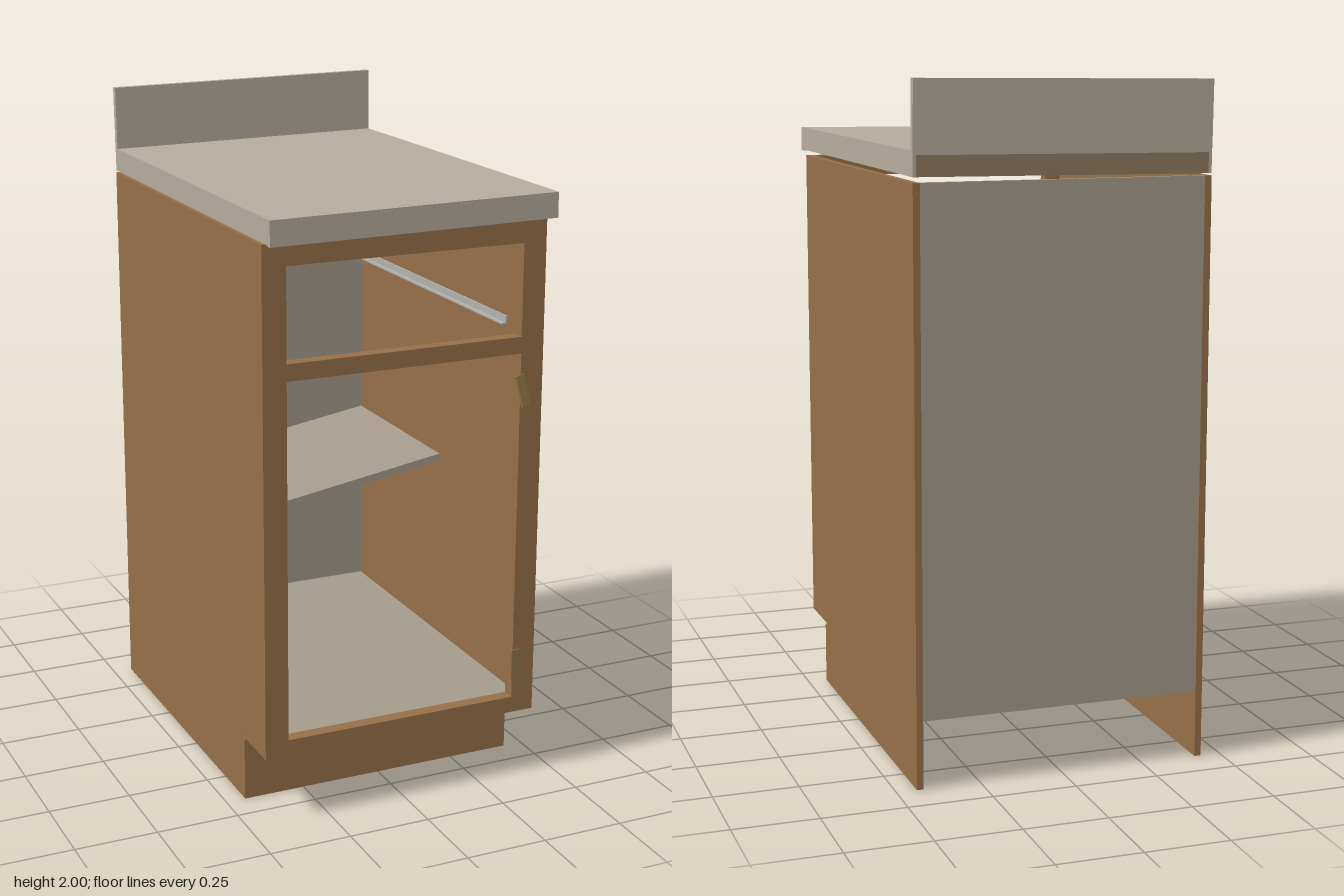
import * as THREE from 'three';

const mat = (color, extra = {}) => new THREE.MeshStandardMaterial({ color, ...extra });

export function createModel() {
  const root = new THREE.Group();
  const wood = mat(0x956f49);
  const panel = mat(0xa39a8a);
  const stone = mat(0xb5ab9b);
  const core = mat(0x8d7a5c);
  const metal = mat(0xb0b0ae);
  const brass = mat(0x8f7648);

  // Box given by its extents along each axis
  function box(name, [x0, x1], [y0, y1], [z0, z1], material, parent = root) {
    const mesh = new THREE.Mesh(new THREE.BoxGeometry(x1 - x0, y1 - y0, z1 - z0), material);
    mesh.position.set((x0 + x1) / 2, (y0 + y1) / 2, (z0 + z1) / 2);
    mesh.name = name;
    parent.add(mesh);
    return mesh;
  }
  // Extents on either side of the middle plane
  const side = (s, a, b) => (s > 0 ? [a, b] : [-b, -a]);

  // Mirrored side boards, frame stiles and drawer slides
  for (const s of [1, -1]) {
    const n = s > 0 ? 'left' : 'right';
    box(n + 'SidePanel', side(s, 0.42, 0.44), [0.2, 1.72], [-0.635, 0.535], wood);
    box(n + 'BaseBoard', side(s, 0.42, 0.44), [0, 0.2], [-0.635, 0.385], wood);
    box(n + 'Stile', side(s, 0.368, 0.44), [0.2, 1.72], [0.535, 0.575], wood);
    const slide = new THREE.Group();
    slide.name = n + 'DrawerSlide';
    root.add(slide);
    box('slideWeb', side(s, 0.368, 0.373), [1.395, 1.42], [-0.61, 0.48], metal, slide);
    box('slideFlange', side(s, 0.355, 0.37), [1.395, 1.4], [-0.61, 0.48], metal, slide);
  }

  // Face frame rails: bottom, drawer divider, top
  [['bottomRail', 0.2, 0.25], ['drawerRail', 1.33, 1.38], ['topRail', 1.655, 1.72]].forEach(([name, a, b]) =>
    box(name, [-0.368, 0.368], [a, b], [0.535, 0.575], wood));

  // Recessed toe board, floor and back
  box('toeBoard', [-0.44, 0.44], [0, 0.193], [0.385, 0.41], wood);
  box('floorPanel', [-0.42, 0.42], [0.205, 0.23], [-0.615, 0.535], panel);
  box('backPanel', [-0.42, 0.42], [0.2, 1.72], [-0.63, -0.615], panel);

  // Loose shelf, fallen to one side
  const shelf = box('shelf', [-0.425, 0.425], [0.755, 0.778], [-0.615, -0.02], panel);
  shelf.rotation.z = Math.atan(0.16);

  // Countertop and backsplash, sitting slightly crooked
  const counter = new THREE.Group();
  counter.name = 'countertop';
  counter.position.y = 1.765;
  counter.rotation.z = 0.011;
  root.add(counter);
  box('counterTop', [-0.44, 0.44], [0.025, 0.037], [-0.634, 0.635], stone, counter);
  box('counterFrontEdge', [-0.44, 0.44], [-0.037, 0.025], [0.615, 0.635], stone, counter);
  for (const s of [1, -1]) {
    box('counterSideEdge', side(s, 0.43, 0.44), [-0.034, 0.025], [-0.634, 0.615], stone, counter);
  }
  box('counterCore', [-0.43, 0.43], [-0.034, 0.025], [-0.635, 0.615], core, counter);
  box('backsplash', [-0.44, 0.44], [0.037, 0.23], [-0.635, -0.615], stone, counter);

  // Old hinges left on the frame, the upper one hanging loose
  function hinge(name, x, y, z, tilt) {
    const g = new THREE.Group();
    g.name = name;
    g.position.set(x, y, z);
    g.rotation.set(-tilt * 0.5, 0, tilt);
    root.add(g);
    box('hingeLeaf', [-0.014, 0.014], [-0.048, 0.048], [-0.003, 0.003], brass, g);
    const pin = new THREE.Mesh(new THREE.CylinderGeometry(0.005, 0.005, 0.096, 10), brass);
    pin.name = 'hingePin';
    pin.position.x = -0.012;
    g.add(pin);
  }
  hinge('upperHinge', 0.373, 1.22, 0.583, 0.2);
  hinge('lowerHinge', 0.376, 0.357, 0.577, 0);

  return root;
}
